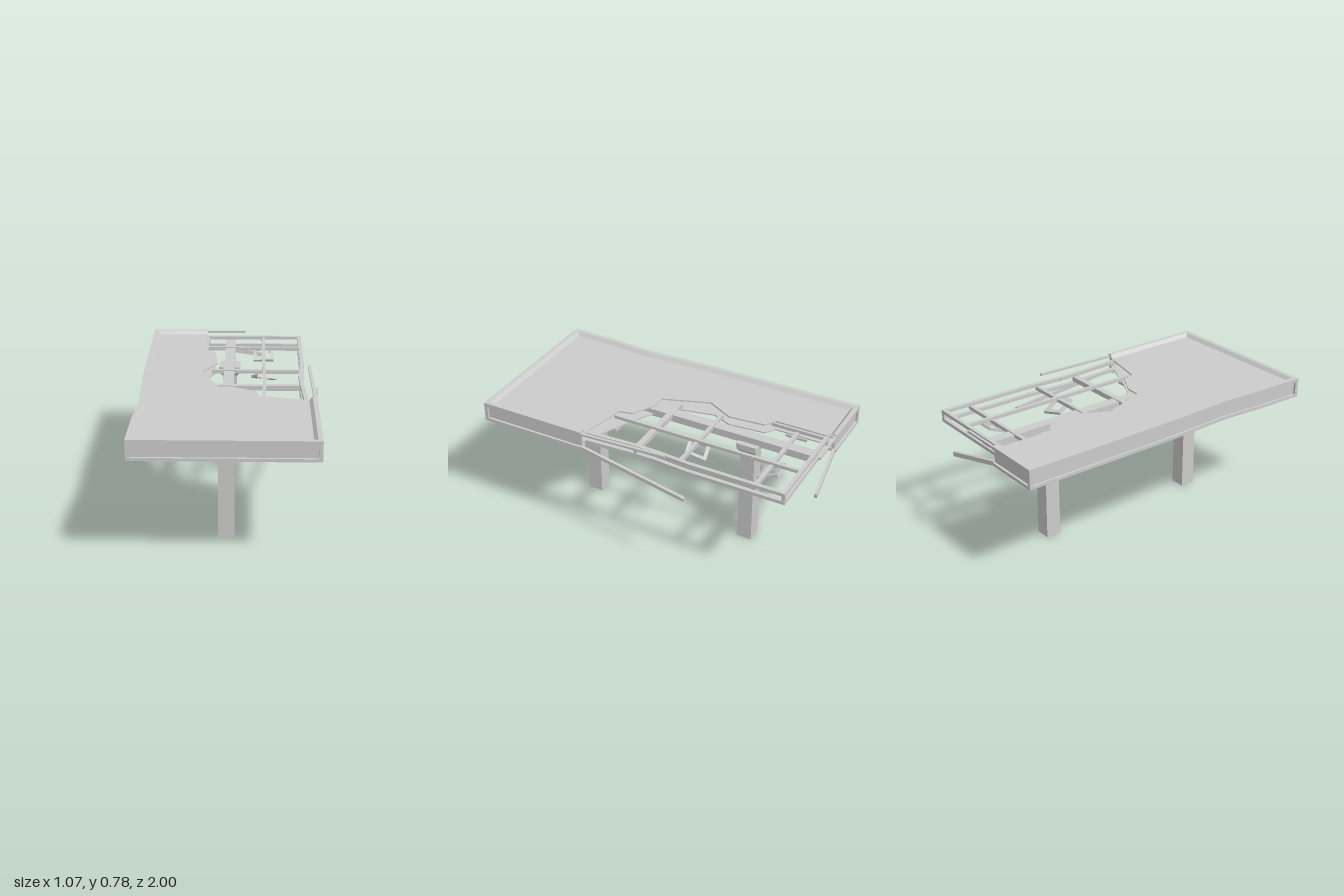
import * as THREE from 'three';

const mat = new THREE.MeshStandardMaterial({ color: 0xcccccc, flatShading: true, side: THREE.DoubleSide });

export function createModel() {
  const root = new THREE.Group();
  root.name = 'damagedCanopy';

  const add = (name, geo, parent = root) => {
    const m = new THREE.Mesh(geo, mat);
    m.name = name;
    parent.add(m);
    return m;
  };

  // Flat outline in x,z raised from y0 to y1
  const slab = (name, pts, y0, y1) => {
    const shape = new THREE.Shape(pts.map(([x, z]) => new THREE.Vector2(x, -z)));
    const g = new THREE.ExtrudeGeometry(shape, { depth: y1 - y0, bevelEnabled: false });
    g.rotateX(-Math.PI / 2).translate(0, y0, 0);
    return add(name, g);
  };

  // Straight bar between two points
  const bar = (name, a, b, w, h) => {
    const A = new THREE.Vector3(...a), B = new THREE.Vector3(...b);
    const m = add(name, new THREE.BoxGeometry(w, h, A.distanceTo(B)));
    m.position.copy(A).add(B).multiplyScalar(0.5);
    m.lookAt(B);
  };
  const polyBar = (name, pts, w, h) => {
    for (let i = 1; i < pts.length; i++) bar(name, pts[i - 1], pts[i], w, h);
  };

  // Surviving roof edge, from the torn back end round to the torn side end
  const edge = [
    [-0.18, -0.96], [-0.535, -0.96], [-0.533, -0.3], [-0.53, 0.05], [-0.514, 0.4],
    [-0.516, 0.5], [-0.53, 0.7], [-0.535, 1], [0.488, 1], [0.488, 0.335],
  ];
  const inset = (d) => edge.map(([x, z]) => [
    x < -0.5 ? x + d : x > 0.48 ? x - d : x,
    z < -0.95 ? z + d : z > 0.99 ? z - d : z,
  ]);
  const band = (name, d0, d1, y0, y1) => slab(name, [...inset(d0), ...inset(d1).reverse()], y0, y1);

  // Fascia: channel section with top lip, recessed web and bottom lip
  band('fasciaTopLip', 0, 0.026, 0.75, 0.77);
  band('fasciaWeb', 0.014, 0.03, 0.67, 0.75);
  band('fasciaBottomLip', 0, 0.05, 0.652, 0.67);
  for (const [x, z] of [[-0.524, -0.949], [-0.524, 0.989], [0.477, 0.989]]) {
    add('fasciaCorner', new THREE.BoxGeometry(0.021, 0.08, 0.021)).position.set(x, 0.71, z);
  }

  // Sloped inner face from the lip down to the deck
  const upper = inset(0.026), lower = inset(0.046), slope = [];
  for (let i = 1; i < edge.length; i++) {
    const [a, b] = [upper[i - 1], upper[i]].map(([x, z]) => [x, 0.77, z]);
    const [c, d] = [lower[i - 1], lower[i]].map(([x, z]) => [x, 0.748, z]);
    slope.push(...a, ...b, ...c, ...b, ...d, ...c);
  }
  const slopeGeo = new THREE.BufferGeometry();
  slopeGeo.setAttribute('position', new THREE.Float32BufferAttribute(slope, 3));
  slopeGeo.computeVertexNormals();
  add('lipSlope', slopeGeo);

  // Roof deck and ceiling sheets, each with its own torn edge
  slab('roofDeck', [
    ...inset(0.026), [0.16, 0.27], [0.14, 0.19], [0.01, 0.12], [-0.08, 0.115],
    [-0.18, -0.16], [-0.095, -0.32], [-0.115, -0.54], [-0.18, -0.58],
  ], 0.74, 0.749);
  slab('ceiling', [
    ...inset(0.03), [0.4, 0.315], [0.14, 0.2], [0.01, 0.125], [-0.08, 0.115],
    [-0.15, -0.2], [-0.1, -0.32], [-0.12, -0.54], [-0.18, -0.58],
  ], 0.684, 0.692);

  // Exposed framework
  bar('mainBeam', [-0.023, 0.697, -0.9], [-0.023, 0.697, 0.94], 0.065, 0.045);
  bar('longPurlin', [0.19, 0.73, -0.9], [0.19, 0.73, 0.28], 0.02, 0.02);
  bar('edgePurlin', [-0.172, 0.73, -0.9], [-0.172, 0.73, -0.56], 0.016, 0.02);
  bar('crossPurlin', [-0.18, 0.715, -0.725], [0.43, 0.715, -0.725], 0.022, 0.022);
  bar('crossPurlin', [-0.13, 0.715, -0.26], [0.42, 0.715, -0.26], 0.022, 0.022);
  bar('crossPurlin', [-0.12, 0.71, 0.015], [0.41, 0.71, 0.015], 0.036, 0.03);
  for (const y of [0.735, 0.683]) {
    bar('backRail', [-0.18, y, -0.9], [0.438, y, -0.9], 0.022, 0.02);
    polyBar('sideRail', [[0.426, y, -0.91], [0.426, y, -0.32], [0.41, y, -0.1], [0.412, y, 0.05], [0.428, y, 0.33]], 0.024, 0.02);
  }
  for (const [x, z] of [[0.426, -0.9], [-0.172, -0.9], [0.411, 0.015]]) {
    add('railUpright', new THREE.BoxGeometry(0.02, 0.05, 0.02)).position.set(x, 0.709, z);
  }

  // Broken fascia strips
  bar('hangingSideStrip', [0.477, 0.662, 0.34], [0.522, 0.565, -0.35], 0.018, 0.022);
  bar('looseSideStrip', [0.478, 0.755, 0.34], [0.466, 0.77, -0.2], 0.018, 0.012);
  bar('hangingBackStrip', [-0.18, 0.662, -0.945], [0.18, 0.59, -0.988], 0.018, 0.026);
  bar('looseBackStrip', [-0.18, 0.758, -0.95], [0.07, 0.76, -0.952], 0.014, 0.014);

  // Square ceiling lights, two of them knocked loose
  const light = (x, y, z, rx = 0, ry = 0, rz = 0) => {
    const g = new THREE.Group();
    g.name = 'ceilingLight';
    for (let i = 0; i < 4; i++) {
      const side = new THREE.BoxGeometry(0.108, 0.016, 0.022);
      side.translate(0.011, 0, 0.054).rotateY(i * Math.PI / 2);
      add('lightFrameSide', side, g);
    }
    g.position.set(x, y, z);
    g.rotation.set(rx, ry, rz);
    root.add(g);
  };
  for (const z of [-0.715, -0.255, 0.3, 0.75]) {
    light(-0.235, 0.677, z);
    if (z > 0) light(0.19, 0.677, z);
  }
  light(0.19, 0.677, -0.725, 0.4, 0.04, 0);
  light(0.195, 0.676, -0.265, -0.38, 0.3, -0.1);

  // Tapered posts, open at the foot, with flared capitals
  const px = -0.0225, h = 0.066, c = 0.056;
  for (const pz of [0.545, -0.5]) {
    const post = new THREE.CylinderGeometry(0.0445 * Math.SQRT2, 0.047 * Math.SQRT2, 0.63, 4, 1, true);
    add('post', post.rotateY(Math.PI / 4)).position.set(px, 0.315, pz);
    const flare = new THREE.CylinderGeometry(0.063 * Math.SQRT2, 0.046 * Math.SQRT2, 0.025, 4);
    add('capitalFlare', flare.rotateY(Math.PI / 4)).position.set(px, 0.6325, pz);
    slab('capitalBlock', [[h, c], [c, h], [-c, h], [-h, c], [-h, -c], [-c, -h], [c, -h], [h, -c]]
      .map(([x, z]) => [px + x, pz + z]), 0.645, 0.681);
  }

  return root;
}
